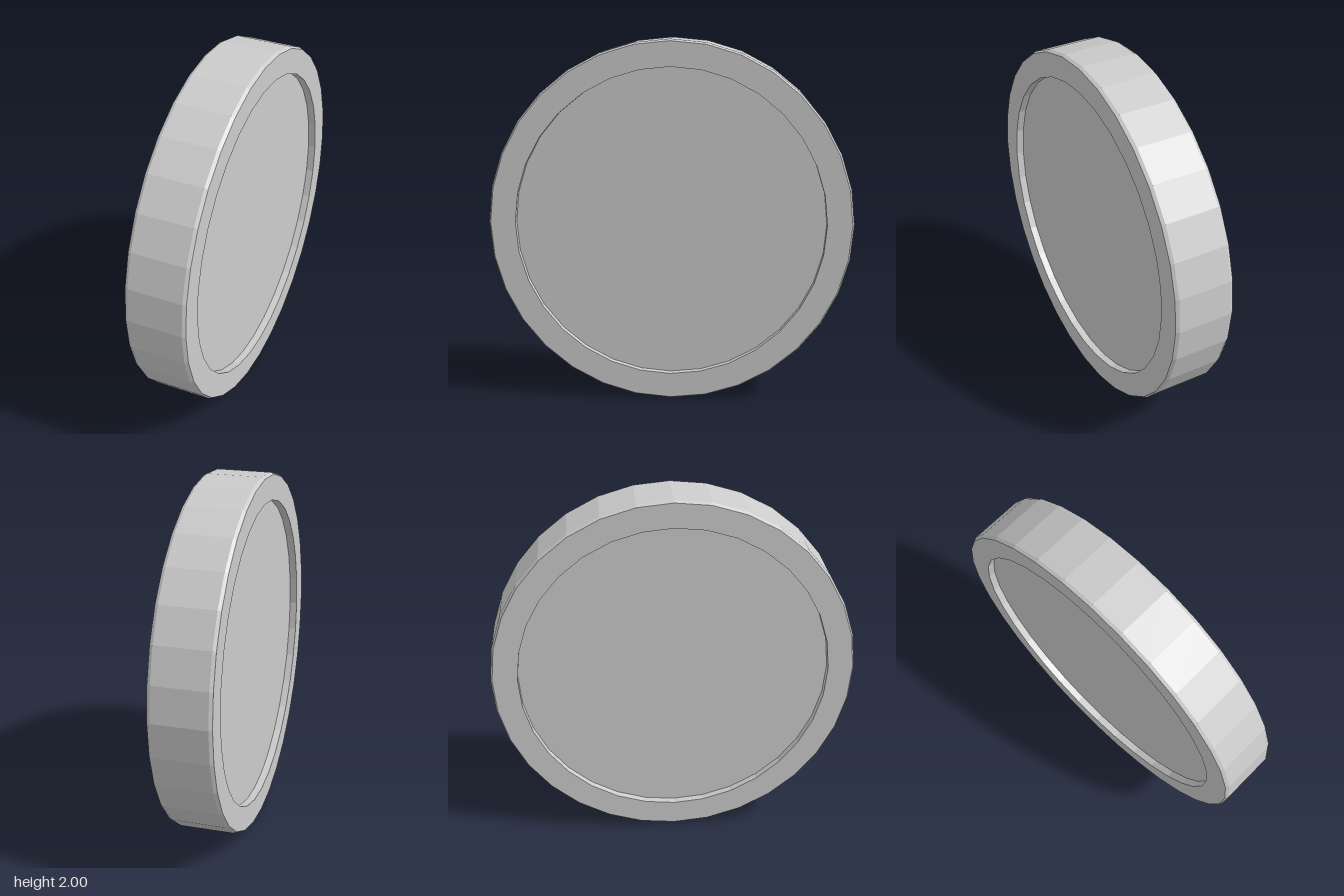
import * as THREE from 'three';

const SIDES = 32;
const RADIUS = 1;
const HALF_WIDTH = 0.167;
const RECESS_RADIUS = 0.853;
const FLOOR = HALF_WIDTH - 0.042; // half thickness of the sunken centre
const BEVEL_X = 0.018;
const BEVEL_R = 0.01;

export function createModel() {
  const group = new THREE.Group();
  group.name = 'disc';
  const material = new THREE.MeshStandardMaterial({ color: 0xcccccc, flatShading: true });

  // Half profile (radius, axial position), mirrored to the other face
  const half = [
    [0, FLOOR],
    [RECESS_RADIUS, FLOOR],
    [RECESS_RADIUS, HALF_WIDTH],
    [RADIUS - BEVEL_R, HALF_WIDTH],
    [RADIUS, HALF_WIDTH - BEVEL_X],
  ];
  const profile = [
    ...half.map(([r, a]) => new THREE.Vector2(r, -a)),
    ...half.map(([r, a]) => new THREE.Vector2(r, a)).reverse(),
  ];

  // Wheel-like disc standing on its edge, with a recess in both faces
  const geometry = new THREE.LatheGeometry(profile, SIDES);
  geometry.rotateZ(-Math.PI / 2);
  geometry.translate(0, RADIUS, 0);
  const body = new THREE.Mesh(geometry, material);
  body.name = 'recessedDisc';
  group.add(body);
  return group;
}
